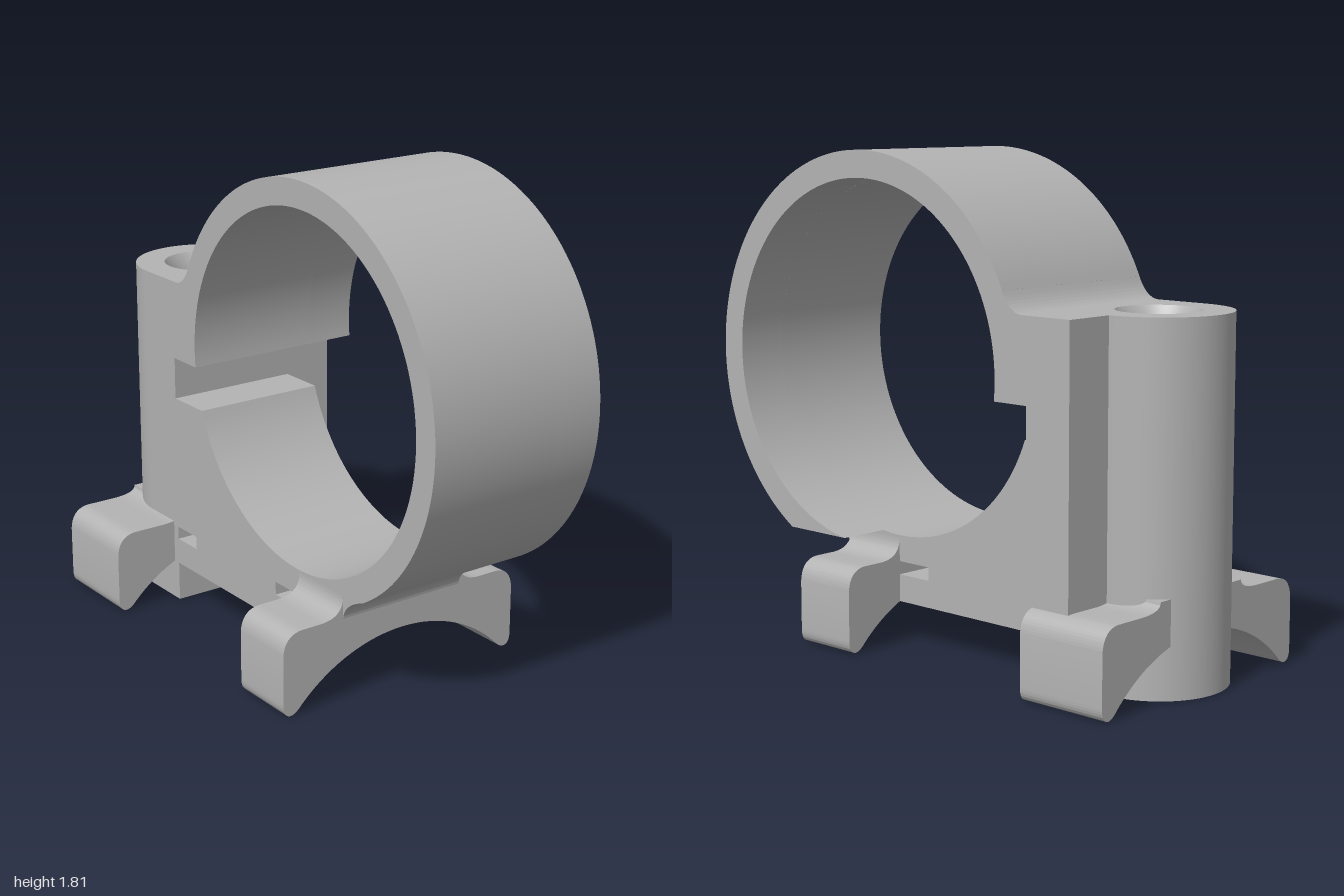
import * as THREE from 'three';
import { toCreasedNormals } from 'three/addons/utils/BufferGeometryUtils.js';

const RING = { z: 0.25, y: 1.06, outer: 0.755, inner: 0.657 };
const HALF = 0.26; // half width of the web and radius of the post
const POST_Z = -0.74;

// underside curve shared by the saddles and the web
const arch = x => -0.418 + Math.sqrt(0.628 ** 2 - x * x);

export function createModel() {
  const group = new THREE.Group();
  const grey = new THREE.MeshStandardMaterial({ color: 0xb3b3b3 });
  grey.name = 'matte grey';

  const add = (name, geometry) => {
    const mesh = new THREE.Mesh(toCreasedNormals(geometry, 0.45), grey);
    mesh.name = name;
    group.add(mesh);
  };
  const extrude = (shape, depth) =>
    new THREE.ExtrudeGeometry(shape, { depth, bevelEnabled: false, curveSegments: 72 });
  // side profile (z, y) swept from x0 to x1
  const sweepX = (shape, x0, x1) =>
    extrude(shape, x1 - x0).rotateY(-Math.PI / 2).translate(x1, 0, 0);
  // front profile (x, y) swept from z0 to z1
  const sweepZ = (shape, z0, z1) => extrude(shape, z1 - z0).translate(0, 0, z0);

  const frontAngle = Math.atan2(-0.65, 0.384);
  const jawTop = Math.PI + Math.asin(0.07 / RING.inner);
  const jawBottom = Math.PI + Math.asin(0.23 / RING.inner);

  // outer outline: blend from the block, then over the top to the front
  const outerOutline = () => {
    const s = new THREE.Shape();
    s.moveTo(-0.55, 1.29);
    s.lineTo(-0.53, 1.29);
    s.quadraticCurveTo(-0.475, 1.29, -0.44, 1.366);
    s.absarc(RING.z, RING.y, RING.outer, Math.atan2(0.306, -0.69), frontAngle, true);
    return s;
  };

  // main clamp: ring, jaws and web with small side slots
  const main = outerOutline();
  main.quadraticCurveTo(0.525, 0.37, 0.52, 0.31);
  [[0.26, 0.31], [0.26, 0.305], [0.11, 0.305], [0.11, 0.255], [-0.42, 0.255],
    [-0.42, 0.305], [-0.55, 0.305]].forEach(p => main.lineTo(...p));
  main.closePath();
  const bore = new THREE.Path();
  bore.absarc(RING.z, RING.y, RING.inner, jawBottom - 2 * Math.PI, jawTop, false);
  bore.lineTo(-0.549, 0.99);
  bore.lineTo(-0.549, 0.83);
  bore.closePath();
  main.holes.push(bore);
  add('clampRing', sweepX(main, -HALF, HALF));

  // wider strip of the ring, open at the bottom
  const strip = outerOutline();
  strip.lineTo(0.345, 0.41);
  strip.absarc(RING.z, RING.y, RING.inner, Math.atan2(-0.65, 0.095), jawTop, false);
  strip.lineTo(-0.55, 0.99);
  strip.closePath();
  add('ringExtension', sweepX(strip, HALF, 0.455));

  // arched floor of the web
  const floor = new THREE.Shape();
  floor.moveTo(-HALF, 0.255);
  for (let i = 0; i <= 16; i++) {
    const x = -HALF + (i / 16) * 2 * HALF;
    floor.lineTo(x, arch(x));
  }
  floor.lineTo(HALF, 0.255);
  floor.closePath();
  add('webFloor', sweepZ(floor, -0.55, 0.26));

  // back plate and round post with a vertical bore
  const post = new THREE.Shape();
  post.moveTo(-HALF, 0.55);
  post.lineTo(0.455, 0.55);
  post.lineTo(0.455, -POST_Z);
  post.lineTo(HALF, -POST_Z);
  post.absarc(0, -POST_Z, HALF, 0, Math.PI, false);
  post.closePath();
  const hole = new THREE.Path();
  hole.absarc(0, -POST_Z, 0.15, 0, Math.PI * 2, true);
  post.holes.push(hole);
  add('backPost', extrude(post, 1.29).rotateX(-Math.PI / 2));

  // narrowed mouth of the bore
  const mouth = [[0.15, 1.29], [0.125, 1.25], [0.11, 1.2], [0.105, 1.15], [0.105, 1.05], [0.15, 1.05]];
  add('boreMouth', new THREE.LatheGeometry(mouth.map(p => new THREE.Vector2(...p)), 64)
    .translate(0, 0, POST_Z));

  // one side of a saddle foot; side is +1 or -1
  const leg = (side, inner, top, filletX) => {
    const s = new THREE.Shape();
    s.moveTo(side * inner, arch(inner));
    for (let i = 1; i <= 20; i++) {
      const x = inner + (i / 20) * (0.44 - inner);
      s.lineTo(side * x, arch(x));
    }
    s.quadraticCurveTo(side * 0.465, 0.002, side * 0.485, 0.002);
    s.quadraticCurveTo(side * 0.515, 0.004, side * 0.515, 0.05);
    s.lineTo(side * 0.515, 0.23);
    s.quadraticCurveTo(side * 0.51, 0.315, side * 0.43, 0.315);
    s.lineTo(side * (filletX + 0.1), 0.315);
    s.quadraticCurveTo(side * filletX, 0.315, side * filletX, top);
    s.lineTo(side * inner, top);
    s.closePath();
    return s;
  };
  for (const side of [1, -1]) {
    const label = side > 0 ? 'Left' : 'Right';
    add('frontSaddle' + label, sweepZ(leg(side, 0, 0.395, 0.26), 0.26, 0.52));
    add('rearSaddle' + label, sweepZ(leg(side, 0.155, 0.35, 0.22), -0.94, -0.58));
  }
  return group;
}
